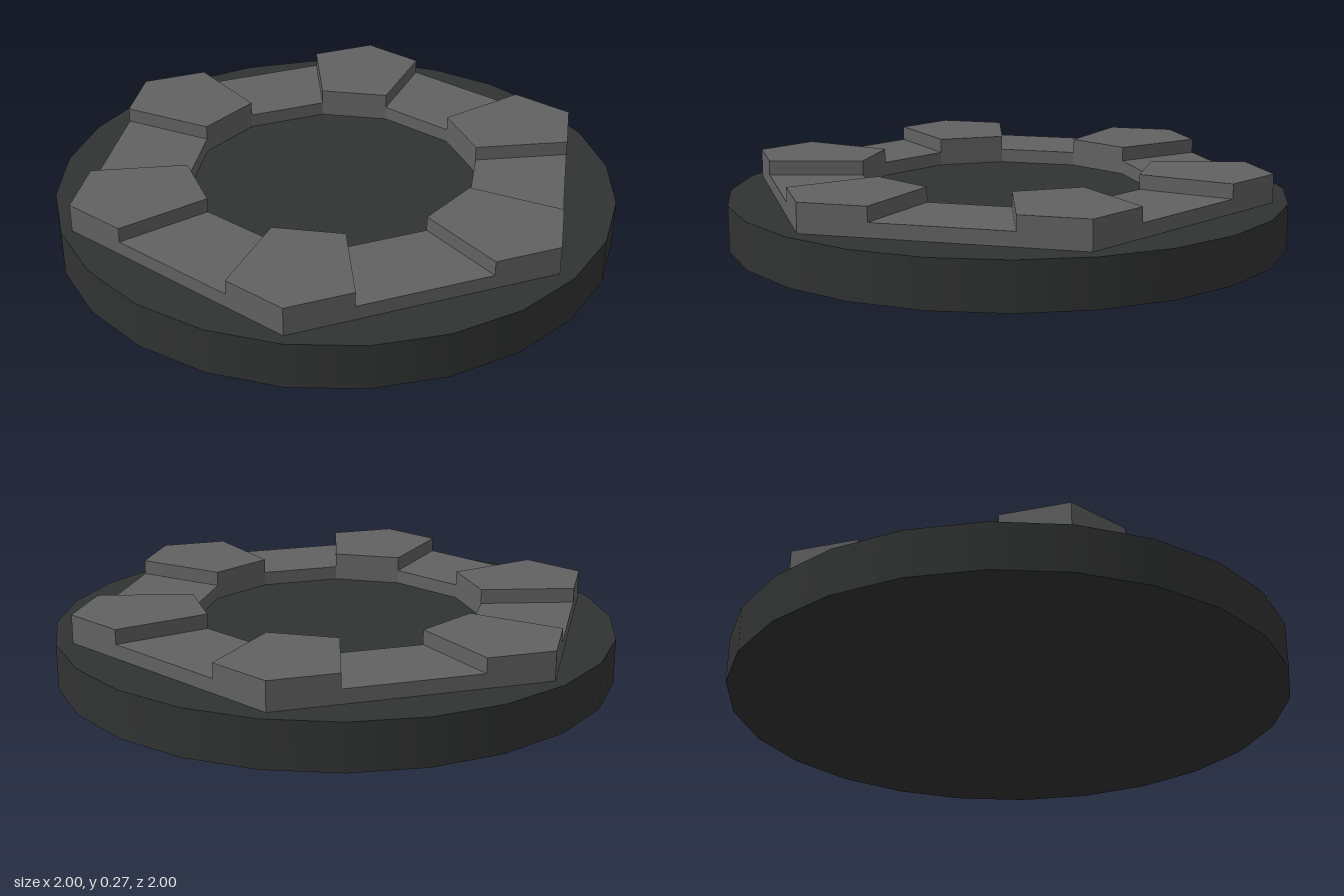
import * as THREE from 'three';

const BASE_H = 0.165, LOW = 0.215, HIGH = 0.267;
const OUTER_R = 0.952, INNER_R = 0.52;
const HALF = THREE.MathUtils.degToRad(13.85); // half angle of a raised corner block
const STEP = Math.PI / 3;

// Point at angle a (from +z towards +x), radius r, height y
const at = (a, r, y) => [r * Math.sin(a), y, r * Math.cos(a)];
// Radius on the hexagon where a corner block ends
const SIDE_R = OUTER_R * Math.cos(STEP / 2) / Math.cos(STEP / 2 - HALF);

// Flat-faced geometry from convex polygons, corners counter-clockwise
function fromPolygons(polygons) {
  const pos = [];
  for (const p of polygons)
    for (let i = 1; i < p.length - 1; i++) pos.push(...p[0], ...p[i], ...p[i + 1]);
  const g = new THREE.BufferGeometry();
  g.setAttribute('position', new THREE.Float32BufferAttribute(pos, 3));
  g.computeVertexNormals();
  return g;
}

// One segment: top, outer walls and inner wall; outer is a list of [angle, radius]
function segment(outer, top) {
  const a0 = outer[0][0], a1 = outer[outer.length - 1][0];
  const faces = [[at(a0, INNER_R, top), ...outer.map(([a, r]) => at(a, r, top)), at(a1, INNER_R, top)]];
  for (let i = 0; i < outer.length - 1; i++) {
    const [a, r] = outer[i], [b, s] = outer[i + 1];
    faces.push([at(a, r, BASE_H), at(b, s, BASE_H), at(b, s, top), at(a, r, top)]);
  }
  faces.push([at(a1, INNER_R, BASE_H), at(a0, INNER_R, BASE_H), at(a0, INNER_R, top), at(a1, INNER_R, top)]);
  return faces;
}

// Step between a raised block and its lower neighbour
function stepWall(a, facing) {
  const wall = [at(a, SIDE_R, LOW), at(a, INNER_R, LOW), at(a, INNER_R, HIGH), at(a, SIDE_R, HIGH)];
  return facing > 0 ? wall : wall.reverse();
}

export function createModel() {
  const model = new THREE.Group();
  const baseMat = new THREE.MeshStandardMaterial({ color: 0x313332 });
  const ringMat = new THREE.MeshStandardMaterial({ color: 0x626262 });

  // Round base disc
  const base = new THREE.Mesh(new THREE.CylinderGeometry(1, 1, BASE_H, 24), baseMat);
  base.name = 'baseDisc';
  base.position.y = BASE_H / 2;
  model.add(base);

  // Hexagonal crenellated ring, alternating raised corners and low sides
  const ring = new THREE.Group();
  ring.name = 'hexRing';
  ring.position.set(-0.008, 0, 0.006);
  const raised = fromPolygons([
    ...segment([[-HALF, SIDE_R], [0, OUTER_R], [HALF, SIDE_R]], HIGH),
    stepWall(HALF, 1), stepWall(-HALF, -1),
  ]);
  const low = fromPolygons(segment([[HALF, SIDE_R], [STEP - HALF, SIDE_R]], LOW));
  for (let i = 0; i < 6; i++) {
    for (const [name, geo] of [['raisedCorner', raised], ['lowSide', low]]) {
      const mesh = new THREE.Mesh(geo, ringMat);
      mesh.name = name + (i + 1);
      mesh.rotation.y = i * STEP;
      ring.add(mesh);
    }
  }
  model.add(ring);
  return model;
}
